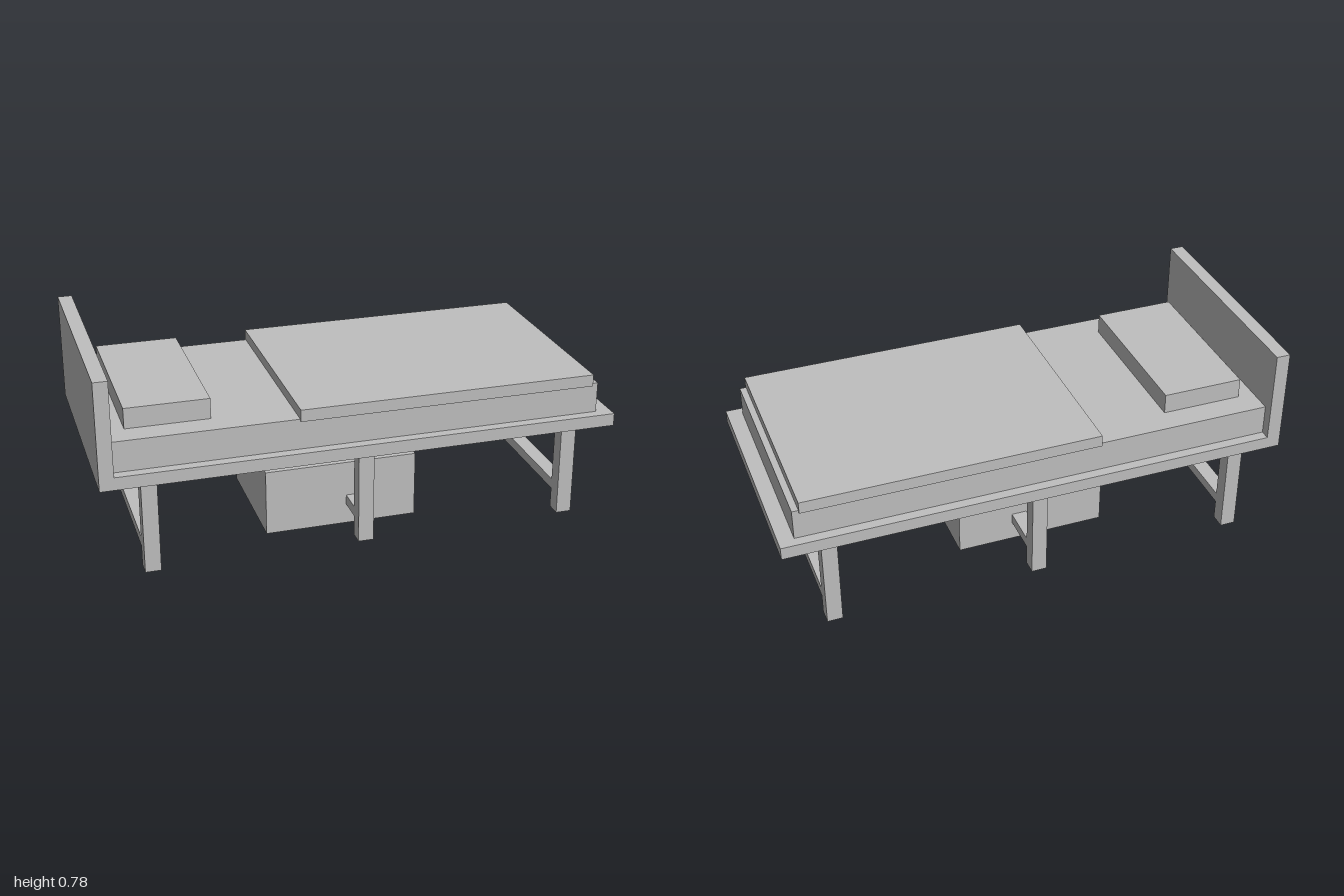
import * as THREE from 'three';

export function createModel() {
  const bed = new THREE.Group();
  bed.name = 'bed';
  const grey = new THREE.MeshStandardMaterial({ color: 0xbfbfbf });
  grey.name = 'plain grey';

  // Box given by its extents on each axis
  function block(name, [x0, x1], [y0, y1], [z0, z1], parent = bed) {
    const mesh = new THREE.Mesh(new THREE.BoxGeometry(x1 - x0, y1 - y0, z1 - z0), grey);
    mesh.position.set((x0 + x1) / 2, (y0 + y1) / 2, (z0 + z1) / 2);
    mesh.name = name;
    parent.add(mesh);
  }

  // Frame
  block('platform', [-1, 1], [0.36, 0.41], [-0.46, 0.46]);
  block('headboard', [-1, -0.945], [0.41, 0.78], [-0.46, 0.46]);

  // Bedding
  block('mattress', [-0.945, 0.94], [0.41, 0.53], [-0.42, 0.42]);
  block('blanket', [-0.25, 0.915], [0.523, 0.57], [-0.43, 0.43]);
  block('pillow', [-0.88, -0.56], [0.53, 0.61], [-0.32, 0.32]);

  // Three leg pairs, each joined by a low cross rail
  for (const [label, x] of [['head', -0.82], ['middle', 0], ['foot', 0.82]]) {
    const trestle = new THREE.Group();
    trestle.name = label + 'Legs';
    const across = [x - 0.03, x + 0.03];
    block('frontLeg', across, [0, 0.36], [0.38, 0.44], trestle);
    block('backLeg', across, [0, 0.36], [-0.44, -0.38], trestle);
    block('crossRail', across, [0.08, 0.12], [-0.38, 0.38], trestle);
    bed.add(trestle);
  }

  // Storage box standing under the bed
  block('storageBox', [-0.35, 0.25], [0, 0.26], [-0.22, 0.28]);

  return bed;
}
